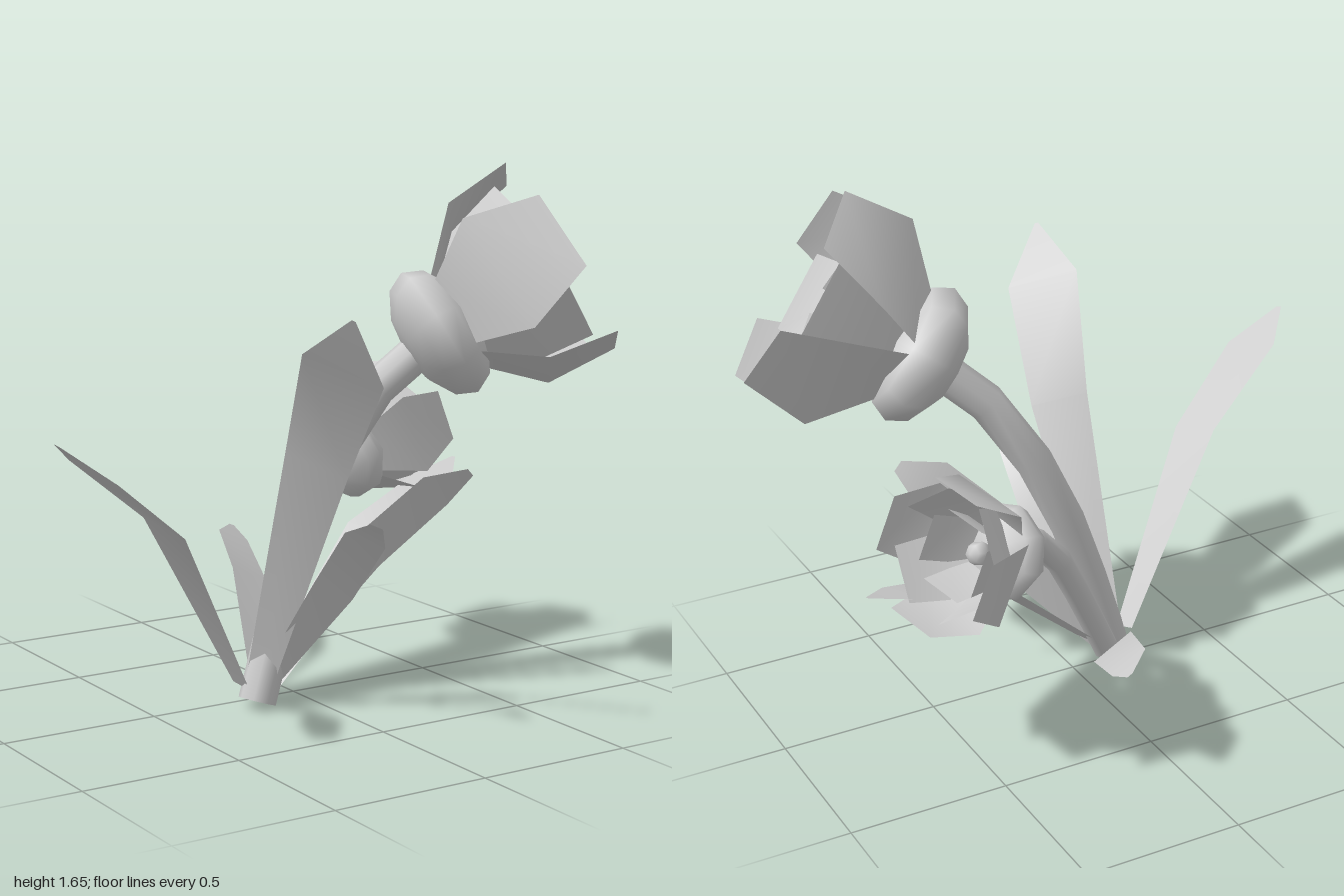
import * as THREE from 'three';

const V = (p) => new THREE.Vector3(...p);
const material = new THREE.MeshStandardMaterial({ color: 0xcccccc, side: THREE.DoubleSide });

function add(parent, geometry, name) {
  const mesh = new THREE.Mesh(geometry, material);
  mesh.name = name;
  parent.add(mesh);
  return mesh;
}

// Thin blade: each row is a centre point and a half width along the vector w
function blade(rows, w) {
  const pos = [], idx = [];
  rows.forEach(([c, h], i) => {
    for (const s of [-1, 1]) pos.push(...V(c).addScaledVector(w, s * h).toArray());
    if (i) {
      const a = 2 * i - 2;
      idx.push(a, a + 1, a + 2, a + 1, a + 3, a + 2);
    }
  });
  const g = new THREE.BufferGeometry();
  g.setAttribute('position', new THREE.Float32BufferAttribute(pos, 3));
  g.setIndex(idx);
  g.computeVertexNormals();
  return g;
}

// Petal layers: rows of [height, distance from axis, half width], and a turn
const layers = [
  { name: 'outerPetal', turn: 0, rows: [[0.05, 0.13, 0.11], [0.22, 0.285, 0.2], [0.445, 0.315, 0.13]] },
  { name: 'middlePetal', turn: Math.PI / 4, rows: [[0.05, 0.08, 0.07], [0.2, 0.195, 0.15], [0.38, 0.265, 0.13]] },
  { name: 'innerPetal', turn: 0, rows: [[0.05, 0.05, 0.05], [0.18, 0.13, 0.11], [0.325, 0.17, 0.11]] },
];

// Flower head at a point, opening along axis; up fixes the first petal
function flower(name, center, axis, up, scale) {
  const g = new THREE.Group();
  g.name = name;
  const y = V(axis).normalize();
  const x = V(up).addScaledVector(y, -V(up).dot(y)).normalize();
  const z = new THREE.Vector3().crossVectors(x, y);
  g.quaternion.setFromRotationMatrix(new THREE.Matrix4().makeBasis(x, y, z));
  g.position.set(...center);
  g.scale.setScalar(scale);

  add(g, new THREE.SphereGeometry(0.225, 8, 6).scale(1, 0.55, 1), 'bulb');
  add(g, new THREE.SphereGeometry(0.058, 6, 4).translate(0, 0.16, 0), 'pistil');

  for (const layer of layers) {
    const petal = blade(layer.rows.map(([h, r, w]) => [[r, h, 0], w]), new THREE.Vector3(0, 0, 1));
    for (let k = 0; k < 4; k++) {
      add(g, petal, layer.name).rotation.y = layer.turn + k * Math.PI / 2;
    }
  }
  return g;
}

function stem(points, radius) {
  const curve = new THREE.CatmullRomCurve3(points.map(V));
  return new THREE.TubeGeometry(curve, 5, radius, 8);
}

// Leaves: centre line with half widths, and the direction of the width
const leaves = [
  { name: 'tallLeaf', w: [0.66, -0.35, 0.64],
    rows: [[[-0.18, 0.04, 0.07], 0.04], [[-0.135, 0.795, 0.34], 0.1], [[-0.205, 1.115, 0.585], 0.125], [[-0.24, 1.27, 0.69], 0.006]] },
  { name: 'frontRightLeaf', w: [0.7, -0.6, -0.25],
    rows: [[[-0.14, 0.03, 0.03], 0.03], [[0.18, 0.46, 0.14], 0.09], [[0.37, 0.65, 0.24], 0.085], [[0.46, 0.71, 0.3], 0.02]] },
  { name: 'smallFrontLeaf', w: [0.75, -0.35, 0.35],
    rows: [[[-0.16, 0.03, 0.05], 0.025], [[-0.055, 0.4, 0.31], 0.065], [[-0.055, 0.59, 0.48], 0.065], [[-0.09, 0.655, 0.59], 0.02]] },
  { name: 'rightLeaf', w: [0.35, -0.1, 0.93],
    rows: [[[-0.14, 0.02, 0.03], 0.04], [[0.36, 0.47, -0.1], 0.09], [[0.7, 0.58, -0.23], 0.075], [[0.83, 0.63, -0.29], 0.006]] },
  { name: 'leftLeaf', w: [0.29, -0.24, 0.93],
    rows: [[[-0.22, 0.07, 0.05], 0.035], [[-0.58, 0.64, 0.22], 0.085], [[-0.86, 0.85, 0.325], 0.1], [[-0.99, 0.945, 0.36], 0.01]] },
  { name: 'backLeaf', w: [0.9, -0.4, -0.1],
    rows: [[[-0.13, 0.02, 0], 0.025], [[0.07, 0.3, -0.38], 0.075], [[0.14, 0.38, -0.6], 0.065], [[0.185, 0.395, -0.685], 0.01]] },
];

export function createModel() {
  const model = new THREE.Group();
  model.name = 'flowerPlant';

  add(model, stem([[-0.185, 0.025, 0.085], [-0.1, 0.27, 0.065], [0.025, 0.58, 0.04], [0.21, 0.92, 0.08], [0.435, 1.135, 0.165]], 0.06), 'largeStem');
  add(model, stem([[-0.13, 0.035, 0.01], [-0.01, 0.26, -0.06], [0.15, 0.53, -0.16], [0.26, 0.64, -0.22], [0.4, 0.68, -0.3]], 0.042), 'smallStem');

  model.add(flower('largeFlower', [0.432, 1.135, 0.167], [0.77, 0.52, 0.37], [-0.27, 0.78, -0.57], 1));
  model.add(flower('smallFlower', [0.395, 0.675, -0.3], [0.9, 0.3, -0.3], [-0.3, 0.94, -0.07], 0.67));

  for (const { name, rows, w } of leaves) add(model, blade(rows, V(w).normalize()), name);
  return model;
}
